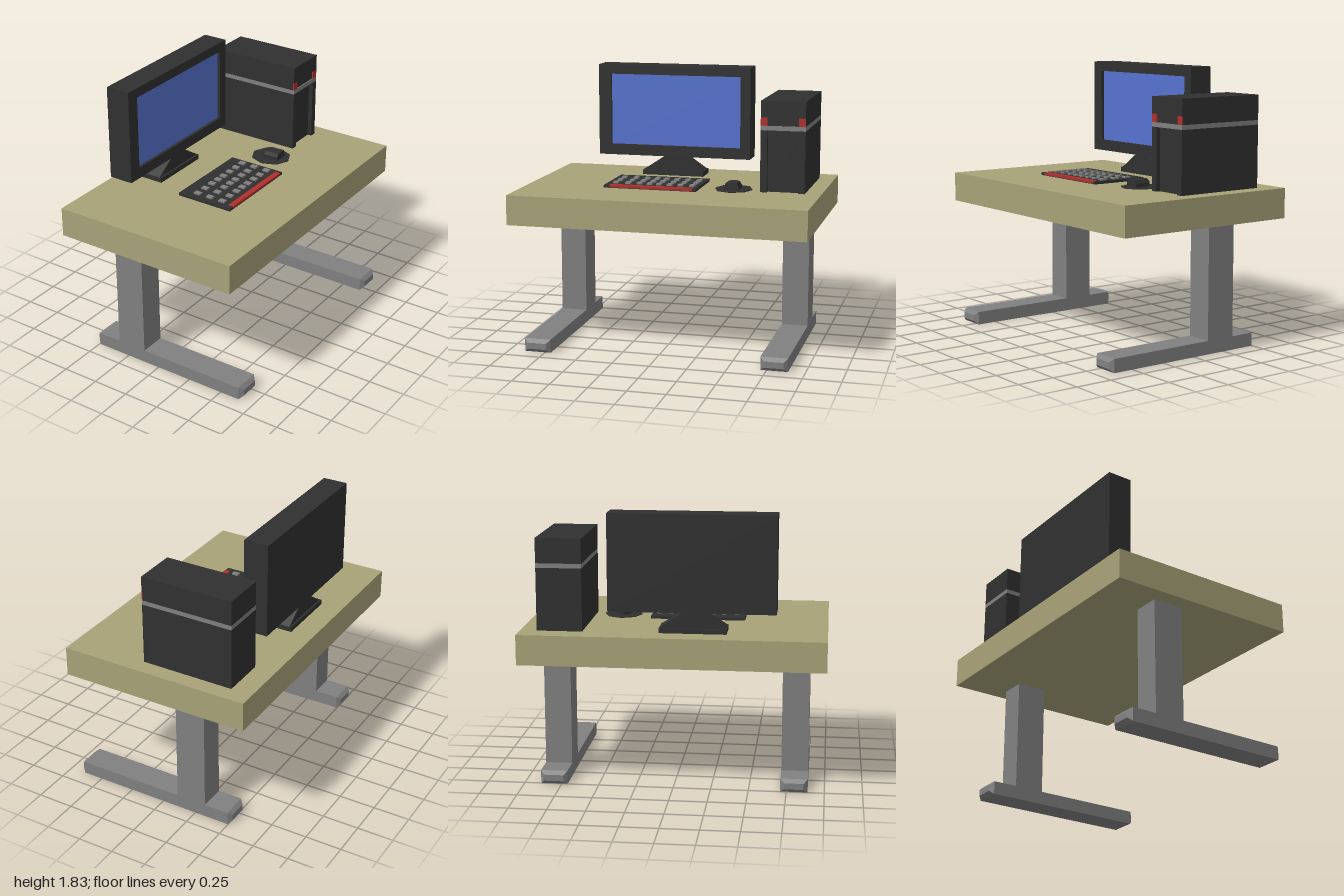
import * as THREE from 'three';

const paint = (color) => new THREE.MeshStandardMaterial({ color, flatShading: true });
const WOOD = paint(0xa8a278), STEEL = paint(0x808080), DARK = paint(0x303030);
const RED = paint(0xb0302c), BLUE = paint(0x5672cf);

function add(group, name, geometry, material) {
  const mesh = new THREE.Mesh(geometry, material);
  mesh.name = name;
  group.add(mesh);
  return mesh;
}

// Box given by its extents along x, y and z
function box(group, name, material, [x0, x1], [y0, y1], [z0, z1]) {
  const g = new THREE.BoxGeometry(x1 - x0, y1 - y0, z1 - z0);
  g.translate((x0 + x1) / 2, (y0 + y1) / 2, (z0 + z1) / 2);
  return add(group, name, g, material);
}

function subgroup(parent, name) {
  const g = new THREE.Group();
  g.name = name;
  parent.add(g);
  return g;
}

// Shape from [z, y] points, extruded along x from x0 to x1
const outline = (pts) => new THREE.Shape(pts.map(([z, y]) => new THREE.Vector2(-z, y)));
function extrudeX(shape, x0, x1) {
  const g = new THREE.ExtrudeGeometry(shape, { depth: x1 - x0, bevelEnabled: false });
  return g.rotateY(Math.PI / 2).translate(x0, 0, 0);
}
const rect = (z0, z1, y0, y1) => [[z1, y0], [z0, y0], [z0, y1], [z1, y1]];

// Foot bar whose two ends taper to a smaller face
function footGeometry() {
  const g = new THREE.BoxGeometry(1, 1, 1, 3, 1, 1);
  const p = g.attributes.position;
  const xs = [-0.52, -0.495, 0.64, 0.665];
  for (let i = 0; i < p.count; i++) {
    const k = Math.round((p.getX(i) + 0.5) * 3);
    const end = k === 0 || k === 3;
    p.setXYZ(i, xs[k], 0.045 + p.getY(i) * (end ? 0.042 : 0.09), p.getZ(i) * (end ? 0.13 : 0.18));
  }
  g.computeVertexNormals();
  return g;
}

function buildDesk(root) {
  const desk = subgroup(root, 'desk');
  box(desk, 'tableTop', WOOD, [-0.67, 0.645], [0.855, 1.055], [-1, 1]);
  for (const z of [-0.8, 0.8]) {
    const leg = subgroup(desk, z > 0 ? 'nearLeg' : 'farLeg');
    leg.position.z = z;
    box(leg, 'column', STEEL, [-0.325, -0.115], [0.08, 0.86], [-0.09, 0.09]);
    add(leg, 'foot', footGeometry(), STEEL);
  }
}

function buildMonitor(root) {
  const m = subgroup(root, 'monitor');
  box(m, 'housing', DARK, [-0.515, -0.37], [1.19, 1.83], [-0.425, 0.67]);
  const frame = outline(rect(-0.425, 0.67, 1.19, 1.83));
  frame.holes.push(new THREE.Path(outline(rect(-0.355, 0.58, 1.265, 1.765)).getPoints()));
  add(m, 'bezel', extrudeX(frame, -0.37, -0.345), DARK);
  box(m, 'screen', BLUE, [-0.375, -0.365], [1.265, 1.765], [-0.355, 0.58]);
  const neck = outline([[0.35, 1.085], [-0.09, 1.085], [0.08, 1.2], [0.18, 1.2]]);
  add(m, 'neck', extrudeX(neck, -0.5, -0.36), DARK);
  box(m, 'standBase', DARK, [-0.515, -0.345], [1.055, 1.088], [-0.09, 0.35]);
}

function buildTower(root) {
  const t = subgroup(root, 'computerTower');
  const x = [-0.525, 0.115], z = [-0.89, -0.59];
  box(t, 'lowerBody', DARK, [-0.525, 0.085], [1.055, 1.47], z);
  box(t, 'stripe', STEEL, x, [1.47, 1.5], z);
  box(t, 'middleBody', DARK, [-0.525, 0.108], [1.5, 1.555], z);
  box(t, 'topBody', DARK, x, [1.555, 1.665], z);
  // Front pillars with a red light above each
  for (const side of [[-0.89, -0.845], [-0.635, -0.59]]) {
    box(t, 'frontPillar', DARK, [0.085, 0.115], [1.055, 1.47], side);
    box(t, 'redLight', RED, [0.108, 0.115], [1.5, 1.555], side);
  }
}

function buildKeyboard(root) {
  const k = subgroup(root, 'keyboard');
  box(k, 'keyboardBase', DARK, [-0.13, 0.275], [1.066, 1.084], [-0.19, 0.445]);
  box(k, 'redStrip', RED, [0.237, 0.276], [1.07, 1.087], [-0.165, 0.405]);
  for (const x of [-0.017, 0.08, 0.178]) {
    for (const z of [-0.145, -0.065, 0.01, 0.085, 0.15, 0.22, 0.3, 0.385]) {
      box(k, 'key', STEEL, [x - 0.023, x + 0.023], [1.08, 1.095], [z - 0.017, z + 0.017]);
    }
  }
}

function buildMouse(root) {
  const m = subgroup(root, 'mouseAndPad');
  m.position.set(0.055, 1.055, -0.4);
  const pad = new THREE.CylinderGeometry(0.14, 0.14, 0.006, 8);
  add(m, 'mousePad', pad.scale(1, 1, 0.91).translate(0, 0.003, 0), DARK);
  // Blunt-nosed body, narrowing towards the top
  const plan = new THREE.Shape([[-0.065, -0.008], [-0.03, -0.048], [0.08, -0.048],
    [0.08, 0.048], [-0.03, 0.048], [-0.065, 0.008]].map((c) => new THREE.Vector2(...c)));
  const g = new THREE.ExtrudeGeometry(plan, { depth: 0.049, steps: 2, bevelEnabled: false });
  g.rotateX(-Math.PI / 2).translate(0, 0.006, 0);
  const p = g.attributes.position;
  for (let i = 0; i < p.count; i++) {
    if (p.getY(i) > 0.05) {
      p.setX(i, 0.08 + (p.getX(i) - 0.08) * 0.87);
      p.setZ(i, p.getZ(i) * 0.78);
    }
  }
  g.computeVertexNormals();
  add(m, 'mouse', g, DARK);
}

export function createModel() {
  const root = new THREE.Group();
  root.name = 'computerDesk';
  buildDesk(root);
  buildMonitor(root);
  buildTower(root);
  buildKeyboard(root);
  buildMouse(root);
  return root;
}
